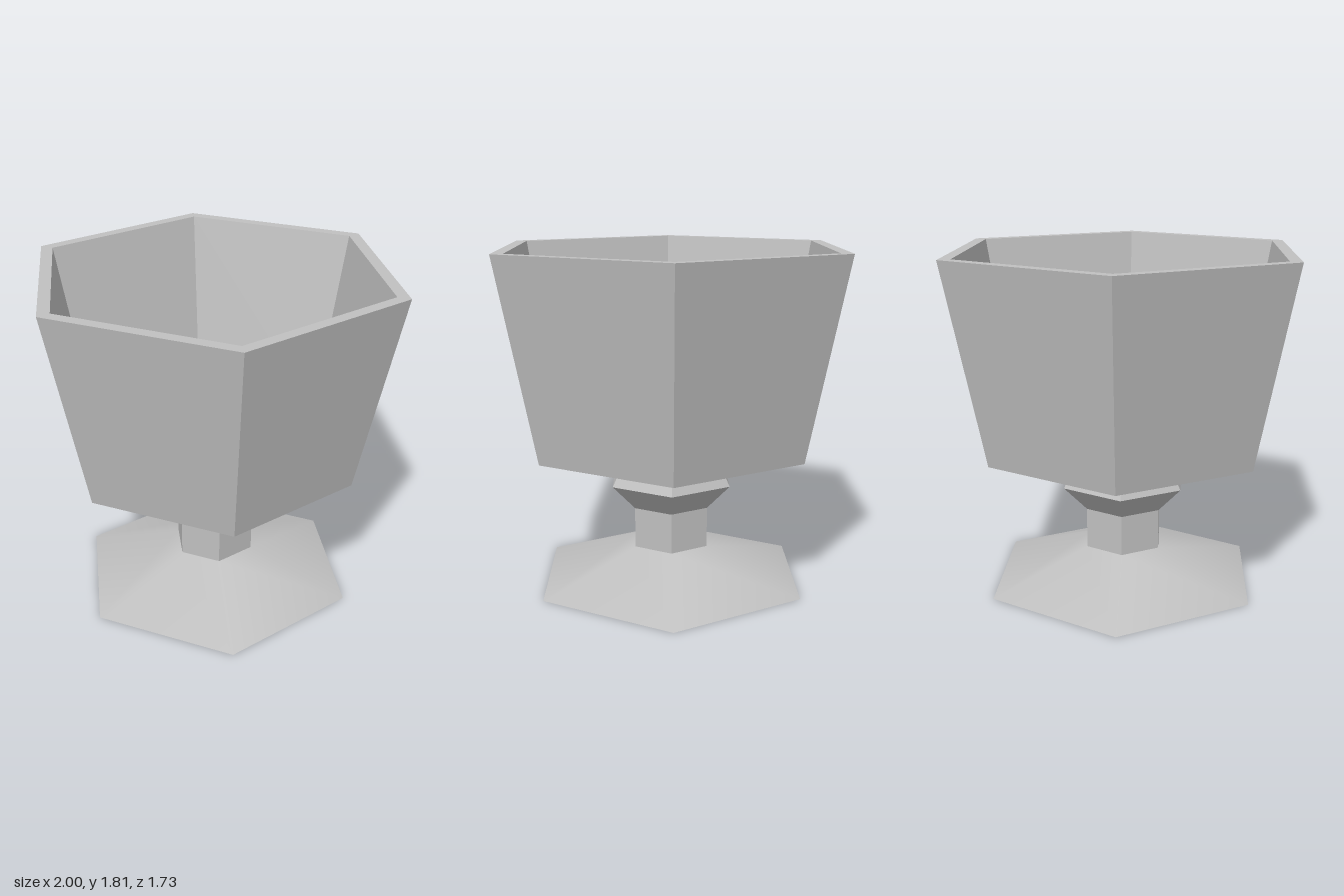
import * as THREE from 'three';

const SIDES = 6;

// Six-sided turned shell from [radius, height] pairs, with corners on the x axis.
function turned(name, profile, material, faceted = true) {
  const points = profile.map(([r, y]) => new THREE.Vector2(r, y));
  let geometry = new THREE.LatheGeometry(points, SIDES, Math.PI / 2);
  if (faceted) {
    geometry = geometry.toNonIndexed();
    geometry.computeVertexNormals();
  }
  const mesh = new THREE.Mesh(geometry, material);
  mesh.name = name;
  return mesh;
}

export function createModel() {
  const grey = new THREE.MeshStandardMaterial({ color: 0xc0c0c0, side: THREE.DoubleSide });
  grey.name = 'grey';

  const goblet = new THREE.Group();
  goblet.name = 'goblet';
  goblet.add(
    // Hollow flared foot, smoothly shaded and open underneath
    turned('foot', [[0.78, 0], [0.225, 0.195]], grey, false),
    // Straight hollow stem
    turned('stem', [[0.225, 0.195], [0.225, 0.415]], grey),
    // Bulging knob under the bowl
    turned('knob', [[0.225, 0.415], [0.36, 0.555], [0.285, 0.7]], grey),
    // Underside and outer wall of the bowl
    turned('bowlOuter', [[0.285, 0.7], [0.78, 0.74], [1, 1.81]], grey),
    // Flat rim
    turned('rim', [[1, 1.81], [0.93, 1.81]], grey),
    // Inner wall and floor
    turned('bowlInner', [[0.93, 1.81], [0.725, 0.81], [0, 0.81]], grey),
  );
  return goblet;
}
